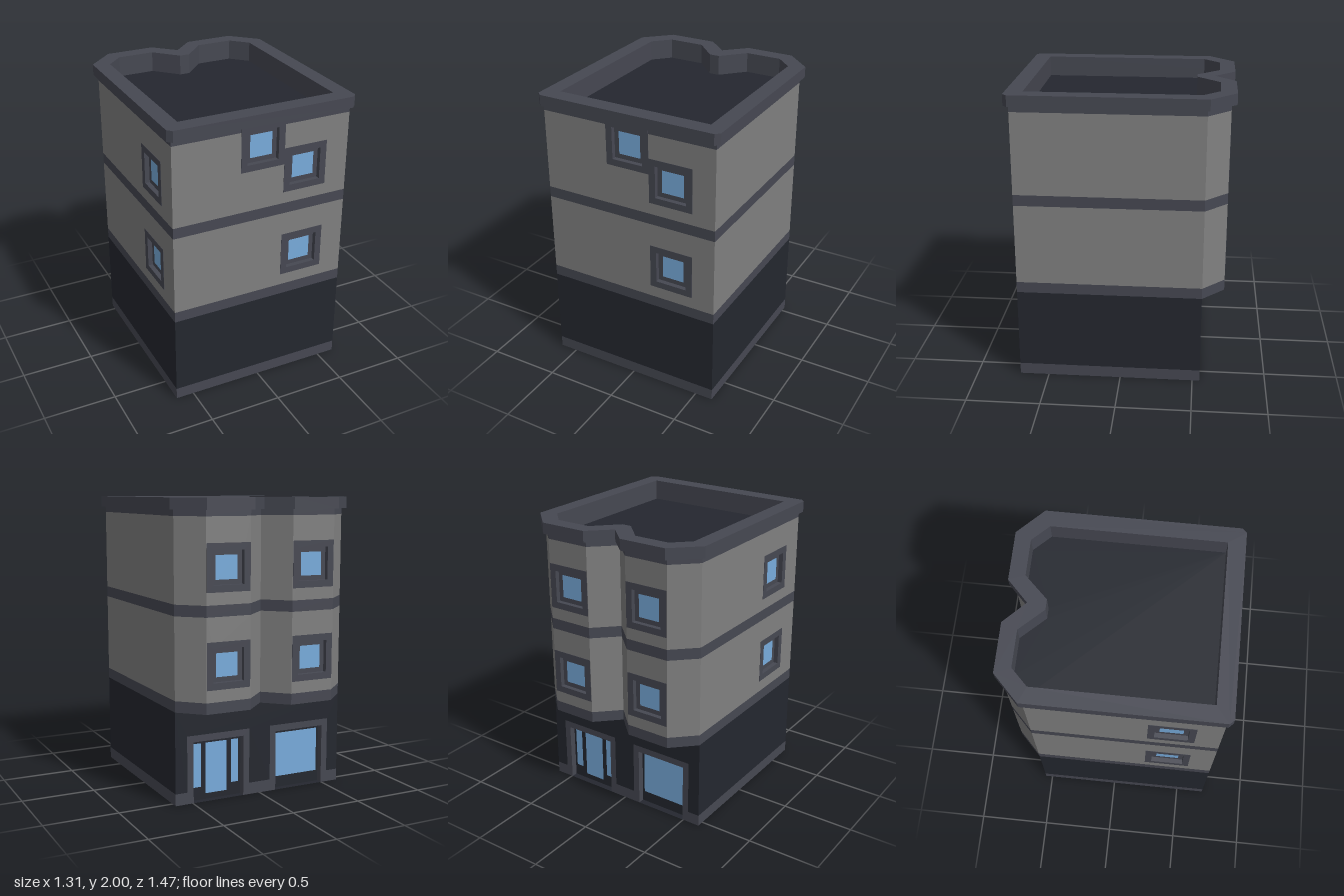
import * as THREE from 'three';

const mat = (color) => new THREE.MeshStandardMaterial({ color, side: THREE.DoubleSide });

export function createModel() {
  const model = new THREE.Group();
  model.name = 'building';
  const stone = mat(0x464852), dark = mat(0x24272f), plaster = mat(0x808080), glass = mat(0x78acdc);

  const polygon = (pts) => new THREE.Shape(pts.map(([x, y]) => new THREE.Vector2(x, y)));
  const rect = (x0, y0, x1, y1) => polygon([[x0, y0], [x1, y0], [x1, y1], [x0, y1]]);
  const plan = (pts) => polygon(pts.map(([x, z]) => [x, -z]));

  function add(parent, name, geometry, material, x = 0, y = 0, z = 0) {
    const mesh = new THREE.Mesh(geometry, material);
    mesh.name = name;
    mesh.position.set(x, y, z);
    parent.add(mesh);
    return mesh;
  }
  const flat = (parent, name, shape, material, z = 0) =>
    add(parent, name, new THREE.ShapeGeometry(shape), material, 0, 0, z);
  const solid = (parent, name, shape, depth, material, z) =>
    add(parent, name, new THREE.ExtrudeGeometry(shape, { depth, bevelEnabled: false }), material, 0, 0, z);
  const level = (name, pts, y, material) => {
    const m = add(model, name, new THREE.ShapeGeometry(plan(pts)), material, 0, y, 0);
    m.rotation.x = -Math.PI / 2;
  };

  // Group whose x runs along the wall from a to b and whose z points outward
  function wallGroup(name, a, b) {
    const g = new THREE.Group();
    g.name = name;
    g.position.set(a[0], 0, a[1]);
    g.rotation.y = Math.atan2(a[1] - b[1], b[0] - a[0]);
    model.add(g);
    return g;
  }

  // Small square window: surround, recessed sash and pane
  function addWindow(g, u, v) {
    const square = (r) => rect(u - r, v - r, u + r, v + r);
    const ring = square(0.155);
    ring.holes.push(square(0.11));
    solid(g, 'windowSurround', ring, 0.032, stone, -0.03);
    const sash = square(0.11);
    sash.holes.push(square(0.078));
    flat(g, 'windowSash', sash, stone, -0.03);
    flat(g, 'windowPane', square(0.078), glass, -0.03);
  }

  // Upper floors: one wall per side of the footprint, with [u, v] window centres
  const bay = [[0.1575, 0.94], [0.1575, 1.565]];
  const upper = [
    ['frontWall', [-0.625, 0.7], [[0.935, 0.94], [0.935, 1.565], [0.625, 1.765]]],
    ['leftWall', [0.625, 0.7], []],
    ['bayCorner', [0.625, -0.55], []],
    ['bayFace', [0.47, -0.7], bay],
    ['bayNotch', [0.155, -0.7], []],
    ['bayNotch', [0, -0.55], []],
    ['bayFace', [-0.155, -0.7], bay],
    ['bayCorner', [-0.47, -0.7], []],
    ['rightWall', [-0.625, -0.55], [[0.93, 0.94], [0.93, 1.565]]],
  ];
  const floors = [[0.705, 1.255], [1.33, 1.885]];
  const bands = [[0.63, 0.705], [1.255, 1.33], [1.885, 1.93]];
  upper.forEach(([name, a, windows], i) => {
    const b = upper[(i + 1) % upper.length][1];
    const len = Math.hypot(b[0] - a[0], b[1] - a[1]);
    const g = wallGroup(name, a, b);
    for (const [y0, y1] of bands) flat(g, 'stoneBand', rect(0, y0, len, y1), stone);
    for (const [y0, y1] of floors) {
      const wall = rect(0, y0, len, y1);
      for (const [u, v] of windows) {
        if (v > y0 && v < y1) wall.holes.push(rect(u - 0.11, v - 0.11, u + 0.11, v + 0.11));
      }
      flat(g, 'plasterWall', wall, plaster);
    }
    for (const [u, v] of windows) addWindow(g, u, v);
  });
  level('bayUnderside', upper.map((w) => w[1]), 0.63, dark);

  // Ground floor: three plain sides
  const base = [[-0.625, 0.7], [0.625, 0.7], [0.625, -0.55], [-0.625, -0.55]];
  for (const i of [0, 1, 3]) {
    const g = wallGroup('groundWall', base[i], base[(i + 1) % 4]);
    flat(g, 'plinth', rect(0, 0, 1.25, 0.08), stone);
    flat(g, 'darkWall', rect(0, 0.08, 1.25, 0.63), dark);
  }
  level('baseFloor', base, 0, dark);

  // Street side: wall cut out around the door and the shop window
  const shop = wallGroup('shopFront', base[2], base[3]);
  const H = 0.46, centres = [0.315, 0.935], half = 0.23, inner = 0.185;
  const outline = [[0, 0.63], [0, 0.08]];
  for (const c of centres) {
    outline.push([c - half, 0.08], [c - half, H], [c + half, H], [c + half, 0.08]);
  }
  outline.push([1.25, 0.08], [1.25, 0.63]);
  flat(shop, 'darkWall', polygon(outline), dark);
  for (const [u0, u1] of [[0, 0.085], [0.545, 0.705], [1.165, 1.25]]) {
    flat(shop, 'plinth', rect(u0, 0, u1, 0.08), stone);
  }
  for (const c of centres) {
    const surround = polygon([
      [c - half, 0], [c - inner, 0], [c - inner, H - 0.045], [c + inner, H - 0.045],
      [c + inner, 0], [c + half, 0], [c + half, H], [c - half, H],
    ]);
    solid(shop, 'openingSurround', surround, 0.05, stone, -0.05);
    flat(shop, 'openingPanel', rect(c - inner, 0, c + inner, H - 0.045), dark, -0.045);
  }
  const pane = (name, c, w, y0) => flat(shop, name, rect(c - w / 2, y0, c + w / 2, 0.39), glass, -0.042);
  pane('doorPane', centres[0], 0.155, 0.04);
  for (const s of [-1, 1]) pane('doorSidePane', centres[0] + s * 0.139, 0.055, 0.09);
  pane('shopPane', centres[1], 0.335, 0.08);

  // Parapet and sunken roof
  const mirror = (half) => [...half, ...half.slice().reverse().map(([x, z]) => [-x, z])];
  const rim = mirror([[0.625, 0.735], [0.655, 0.705], [0.655, -0.565], [0.48, -0.735], [0.145, -0.735]]);
  rim.splice(5, 0, [0, -0.595]);
  const well = mirror([[0.545, 0.62], [0.545, -0.52], [0.435, -0.63], [0.185, -0.63], [0.035, -0.475]]);
  const cap = plan(rim);
  cap.holes.push(plan(well));
  const parapet = solid(model, 'parapet', cap, 0.075, stone, 0);
  parapet.rotation.x = -Math.PI / 2;
  parapet.position.y = 1.925;
  const wellWall = wallGroup('roofWell', [0, 0], [1, 0]);
  well.forEach((a, i) => {
    const b = well[(i + 1) % well.length];
    const len = Math.hypot(b[0] - a[0], b[1] - a[1]);
    const side = flat(wellWall, 'wellSide', rect(0, 1.86, len, 1.93), stone);
    side.position.set(a[0], 0, a[1]);
    side.rotation.y = Math.atan2(a[1] - b[1], b[0] - a[0]);
    // inside faces must look into the well
    side.geometry.scale(-1, 1, 1).rotateY(Math.PI);
  });
  level('roof', well, 1.86, dark);

  return model;
}
